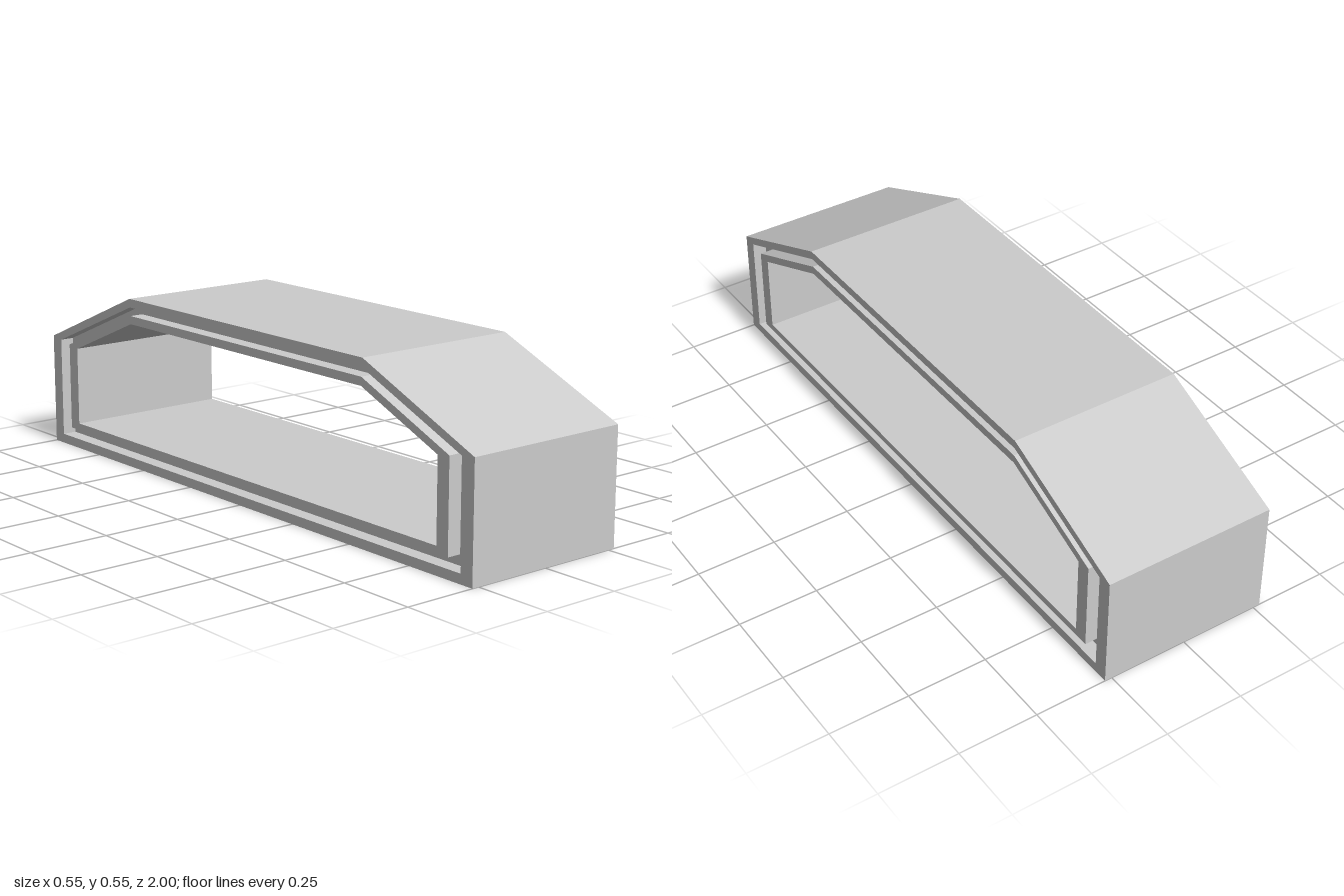
import * as THREE from 'three';

const WIDTH = 0.545;
const GROOVE_DEPTH = 0.045;

// Nested outlines: half length, bottom, shoulder height, half length of the roof, top
const OUTLINES = [
  [1.0, 0.0, 0.357, 0.555, 0.545],
  [0.955, 0.03, 0.35, 0.553, 0.518],
  [0.905, 0.062, 0.342, 0.551, 0.491],
  [0.86, 0.084, 0.335, 0.55, 0.465],
];

function outlinePoints([half, bottom, shoulder, roof, top]) {
  return [
    [-half, bottom], [half, bottom], [half, shoulder],
    [roof, top], [-roof, top], [-half, shoulder],
  ].map(([z, y]) => new THREE.Vector2(z, y));
}

// Ring between two outlines, extruded across the width and centred on x = 0
function ring(name, outer, inner, width, material) {
  const shape = new THREE.Shape(outlinePoints(outer));
  shape.holes.push(new THREE.Path(outlinePoints(inner)));
  const geometry = new THREE.ExtrudeGeometry(shape, { depth: width, bevelEnabled: false });
  geometry.translate(0, 0, -width / 2);
  geometry.rotateY(-Math.PI / 2);
  const mesh = new THREE.Mesh(geometry, material);
  mesh.name = name;
  return mesh;
}

export function createModel() {
  const material = new THREE.MeshStandardMaterial({ color: 0xcccccc, flatShading: true });
  const model = new THREE.Group();
  model.name = 'tunnelFrame';
  const [a, b, c, d] = OUTLINES;

  // Outer shell, recessed groove floor and inner lining
  model.add(
    ring('outerShell', a, b, WIDTH, material),
    ring('grooveFloor', b, c, WIDTH - 2 * GROOVE_DEPTH, material),
    ring('innerLining', c, d, WIDTH, material),
  );
  return model;
}
